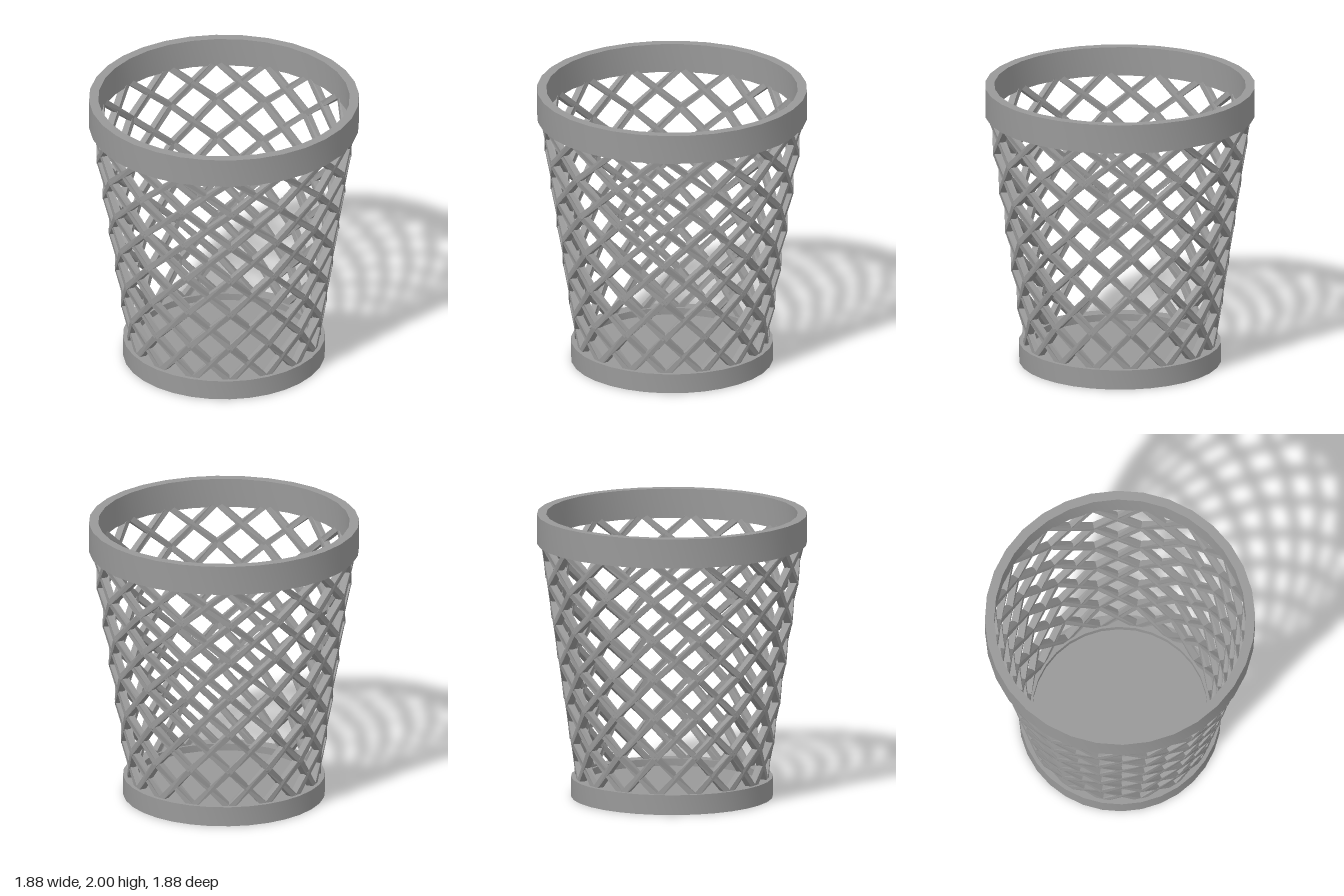
import * as THREE from 'three';
import { toCreasedNormals } from 'three/addons/utils/BufferGeometryUtils.js';

const SIDES = 32, STRANDS = 16, LEVELS = 6;
const STEP = (Math.PI * 2) / STRANDS, RISE = 0.2834;

// Turned ring with crisp profile edges and a smooth circumference
function turned(profile) {
  const points = profile.map(([r, y]) => new THREE.Vector2(r, y));
  return toCreasedNormals(new THREE.LatheGeometry(points, SIDES), 0.6);
}

// Square bar winding up the tapered wall, one straight piece per lattice level
function strandGeometry(dir) {
  const depth = 0.05, halfWidth = 0.021, taper = 0.15;
  const rings = [];
  for (let k = 0; k <= LEVELS; k++) {
    const a = dir * k * STEP;
    const y = 0.12 + k * RISE;
    const r = 0.675 + taper * k * RISE;
    const out = new THREE.Vector3(Math.sin(a), 0, Math.cos(a));
    const along = new THREE.Vector3(Math.cos(a), 0, -Math.sin(a)).multiplyScalar(dir * r * STEP);
    along.y = RISE;
    along.addScaledVector(out, taper * RISE).normalize();
    const normal = out.clone().addScaledVector(along, -out.dot(along)).normalize();
    const side = new THREE.Vector3().crossVectors(along, normal);
    const centre = out.clone().multiplyScalar(r - depth / 2).setY(y);
    rings.push([[1, 1], [1, -1], [-1, -1], [-1, 1]].map(([n, s]) =>
      centre.clone().addScaledVector(normal, n * depth / 2).addScaledVector(side, s * halfWidth)));
  }
  const pos = [];
  const quad = (a, b, c, d) => [a, b, c, a, c, d].forEach((p) => pos.push(p.x, p.y, p.z));
  for (let k = 0; k < LEVELS; k++) {
    for (let i = 0; i < 4; i++) {
      const j = (i + 1) % 4;
      quad(rings[k][i], rings[k + 1][i], rings[k + 1][j], rings[k][j]);
    }
  }
  // End caps
  const [p, q] = [rings[0], rings[LEVELS]];
  quad(p[0], p[1], p[2], p[3]);
  quad(q[3], q[2], q[1], q[0]);
  const geometry = new THREE.BufferGeometry();
  geometry.setAttribute('position', new THREE.Float32BufferAttribute(pos, 3));
  geometry.computeVertexNormals();
  return geometry;
}

export function createModel() {
  const model = new THREE.Group();
  model.name = 'wasteBasket';
  const grey = new THREE.MeshStandardMaterial({ color: 0x999999 });
  grey.name = 'grey';

  const add = (name, geometry, parent = model) => {
    const mesh = new THREE.Mesh(geometry, grey);
    mesh.name = name;
    parent.add(mesh);
    return mesh;
  };

  // Dished base and top rim
  add('base', turned([[0, 0], [0.703, 0], [0.703, 0.14], [0.61, 0.14], [0.61, 0.09], [0, 0.09]]));
  add('rim', turned([[0.875, 1.793], [0.94, 1.793], [0.94, 2], [0.875, 2], [0.875, 1.793]]));

  // Two opposed sets of winding bars form the diamond lattice
  const lattice = new THREE.Group();
  lattice.name = 'lattice';
  model.add(lattice);
  for (const dir of [1, -1]) {
    const geometry = strandGeometry(dir);
    for (let i = 0; i < STRANDS; i++) {
      const bar = add(dir > 0 ? 'risingBar' : 'fallingBar', geometry, lattice);
      bar.rotation.y = i * STEP;
    }
  }
  return model;
}
